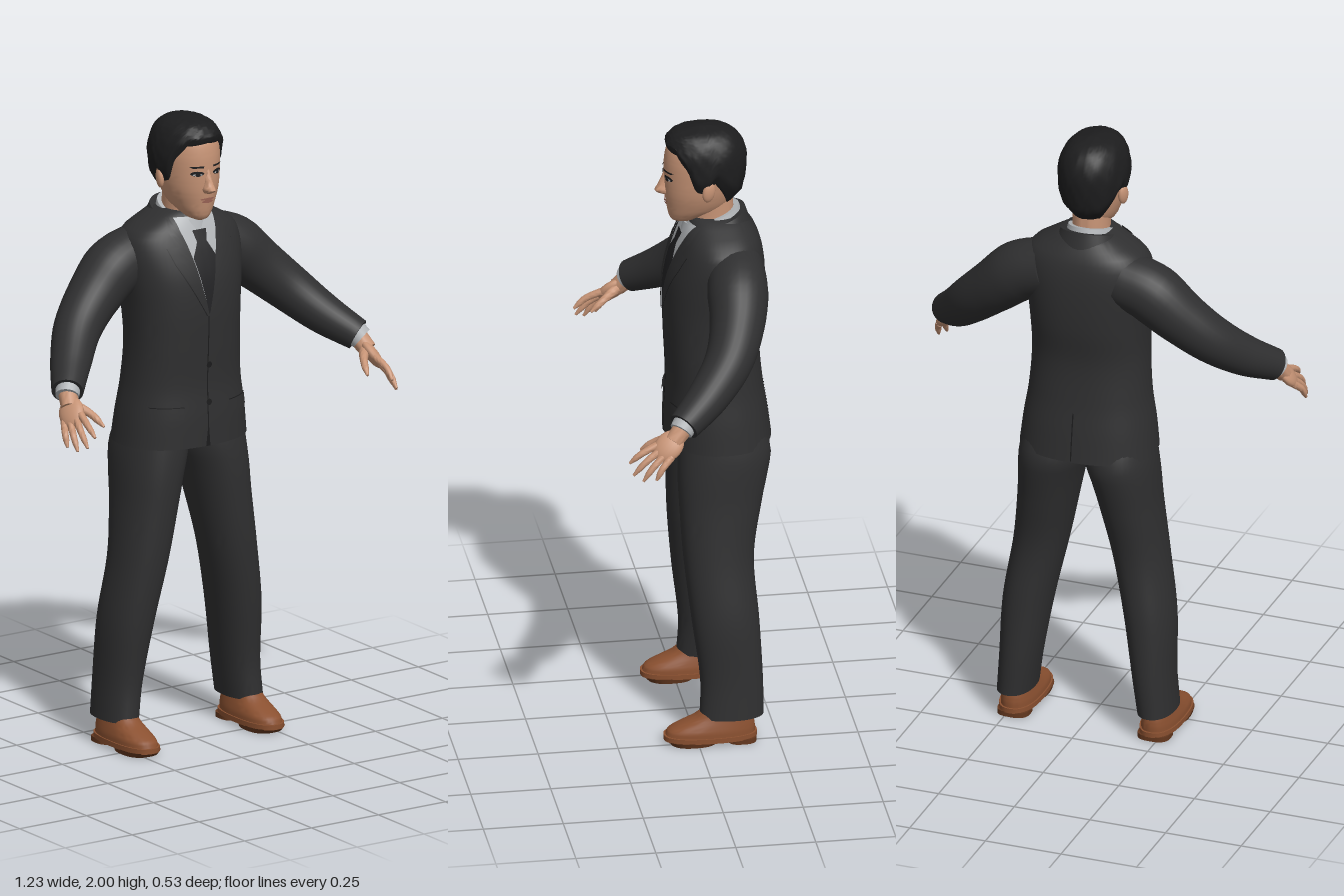
import * as THREE from 'three';
import { toCreasedNormals } from 'three/addons/utils/BufferGeometryUtils.js';

const paint = (name, color) => new THREE.MeshStandardMaterial({ name, color, side: THREE.DoubleSide });
const M = {
  suit: paint('charcoal suit', 0x2f2f30), seam: paint('dark seam', 0x1b1b1c), tie: paint('black tie', 0x222224),
  shirt: paint('pale shirt', 0xb2b5b8), skin: paint('skin', 0xc69375), lips: paint('lips', 0xa2695a),
  hair: paint('black hair', 0x1d1d1e), shoe: paint('brown leather', 0x8a5030), sole: paint('dark sole', 0x64381f),
};
const V = (x, y, z) => new THREE.Vector3(x, y, z);
const sgnPow = (v, e) => Math.sign(v) * Math.abs(v) ** e;

// Section rows are [y, centreX, halfWidth, zFront, zBack]; smooth interpolation in y
function section(rows, y) {
  const n = rows.length - 1;
  y = THREE.MathUtils.clamp(y, rows[0][0], rows[n][0]);
  let i = 0;
  while (i < n - 1 && y > rows[i + 1][0]) i++;
  const h = rows[i + 1][0] - rows[i][0], t = (y - rows[i][0]) / h;
  const slope = (k, c) => {
    const a = rows[Math.max(k - 1, 0)], b = rows[Math.min(k + 1, n)];
    return (b[c] - a[c]) / (b[0] - a[0]);
  };
  return rows[i].map((p, c) => c === 0 ? y :
    (2 * t ** 3 - 3 * t * t + 1) * p + (t ** 3 - 2 * t * t + t) * h * slope(i, c) +
    (3 * t * t - 2 * t ** 3) * rows[i + 1][c] + (t ** 3 - t * t) * h * slope(i + 1, c));
}
// Point on a section at angle a, measured from the front towards +x
function ringPoint(rows, y, a, e) {
  const [, cx, rx, zf, zb] = section(rows, y);
  return V(cx + rx * sgnPow(Math.sin(a), e), y, (zf + zb) / 2 + (zf - zb) / 2 * sgnPow(Math.cos(a), e));
}
// z of the front (side 1) or back (side -1) of a body at x, y
const surface = (rows, e, side = 1) => (x, y) => {
  const [, cx, rx, zf, zb] = section(rows, y);
  const k = Math.max(0, 1 - Math.min(1, Math.abs((x - cx) / rx)) ** (2 / e)) ** (e / 2);
  return (zf + zb) / 2 + side * (zf - zb) / 2 * k;
};
// Skin over a grid of points; closed wraps round, caps fill both ends
function skinGrid(rings, closed, caps) {
  const m = rings[0].length, pts = rings.flat(), idx = [];
  for (let i = 0; i < rings.length - 1; i++) for (let j = 0; j < (closed ? m : m - 1); j++) {
    const k = (j + 1) % m, a = i * m + j, b = i * m + k, c = b + m, d = a + m;
    idx.push(a, b, c, a, c, d);
  }
  if (caps) [0, rings.length - 1].forEach((r, end) => {
    const c = pts.length;
    pts.push(rings[r].reduce((s, p) => s.add(p), V(0, 0, 0)).divideScalar(m));
    for (let j = 0; j < m; j++) {
      const a = r * m + j, b = r * m + (j + 1) % m;
      idx.push(...(end ? [c, a, b] : [c, b, a]));
    }
  });
  const g = new THREE.BufferGeometry().setFromPoints(pts);
  g.setIndex(idx);
  return toCreasedNormals(g, 1);
}
function loft(rows, { e = 1, steps = 24, seg = 40, tilt = 0 } = {}) {
  const y0 = rows[0][0], y1 = rows[rows.length - 1][0], rings = [];
  for (let i = 0; i <= steps; i++) {
    const y = y0 + (y1 - y0) * i / steps, ring = [];
    for (let j = 0; j < seg; j++) {
      const p = ringPoint(rows, y, j / seg * Math.PI * 2, e);
      p.y -= tilt * (p.z + 0.08);
      ring.push(p);
    }
    rings.push(ring);
  }
  return skinGrid(rings, true, true);
}
// Tube with a changing radius
function limb(points, radii, steps = 18, seg = 20) {
  const curve = new THREE.CatmullRomCurve3(points), f = curve.computeFrenetFrames(steps), rings = [];
  for (let i = 0; i <= steps; i++) {
    const u = i / steps, s = u * (radii.length - 1), k = Math.min(Math.floor(s), radii.length - 2);
    const r = THREE.MathUtils.lerp(radii[k], radii[k + 1], s - k), c = curve.getPointAt(u), ring = [];
    for (let j = 0; j < seg; j++) {
      const a = j / seg * Math.PI * 2;
      ring.push(c.clone().addScaledVector(f.normals[i], r * Math.cos(a)).addScaledVector(f.binormals[i], r * Math.sin(a)));
    }
    rings.push(ring);
  }
  return skinGrid(rings, true, true);
}
// Thin plate lying on a surface; rows are [y, x0, x1] from low to high
function patch(zAt, rows, off) {
  const rings = [];
  rows.slice(0, -1).forEach((r, i) => {
    for (let k = i ? 1 : 0; k <= 5; k++) {
      const [y, x0, x1] = r.map((v, c) => THREE.MathUtils.lerp(v, rows[i + 1][c], k / 5));
      rings.push(Array.from({ length: 9 }, (_, j) => {
        const x = x0 + (x1 - x0) * j / 8;
        return V(x, y, zAt(x, y) + off);
      }));
    }
  });
  return skinGrid(rings, false, false);
}
const oval = (zAt, cx, cy, rx, ry, off) => patch(zAt, Array.from({ length: 7 }, (_, i) => {
  const a = Math.PI * i / 6, w = rx * Math.sin(a);
  return [cy - ry * Math.cos(a), cx - w, cx + w];
}), off);

const TORSO = [[0.96, 0, 0.217, 0.068, -0.262], [1.05, 0, 0.207, 0.066, -0.25], [1.15, 0, 0.192, 0.06, -0.235],
  [1.28, 0, 0.184, 0.066, -0.226], [1.4, 0, 0.188, 0.069, -0.24], [1.5, 0, 0.198, 0.06, -0.243],
  [1.58, 0, 0.203, 0.037, -0.237], [1.635, 0, 0.185, 0.015, -0.222], [1.67, 0, 0.13, 0, -0.2], [1.7, 0, 0.076, -0.015, -0.175]];
const LEG = [[1.02, 0.105, 0.095, 0.03, -0.22], [0.94, 0.108, 0.107, 0.04, -0.248], [0.86, 0.122, 0.1, 0.043, -0.236],
  [0.78, 0.134, 0.093, 0.041, -0.218], [0.6, 0.164, 0.084, 0.032, -0.187], [0.4, 0.2, 0.077, 0.012, -0.198],
  [0.2, 0.22, 0.063, -0.012, -0.207], [0.085, 0.232, 0.058, -0.008, -0.207]].reverse();
const HEAD = [[1.678, 0, 0.012, 0.03, -0.01], [1.686, 0, 0.03, 0.045, -0.035], [1.702, 0, 0.046, 0.053, -0.07],
  [1.73, 0, 0.065, 0.059, -0.125], [1.78, 0, 0.083, 0.066, -0.15], [1.84, 0, 0.091, 0.068, -0.163],
  [1.9, 0, 0.092, 0.065, -0.168], [1.945, 0, 0.08, 0.052, -0.152], [1.972, 0, 0.055, 0.025, -0.12], [1.984, 0, 0.015, -0.03, -0.075]];
const NECK = [[1.62, 0, 0.062, 0, -0.15], [1.7, 0, 0.058, -0.01, -0.15], [1.78, 0, 0.058, -0.005, -0.145]];

export function createModel() {
  const root = new THREE.Group();
  const group = (name) => { const g = new THREE.Group(); g.name = name; root.add(g); return g; };
  const add = (parent, name, geo, mat) => {
    const m = new THREE.Mesh(geo, mat); m.name = name; parent.add(m); return m;
  };
  const chest = surface(TORSO, 0.85), back = surface(TORSO, 0.85, -1), face = surface(HEAD, 0.95);

  // Jacket, shirt and tie
  const jacket = group('jacket');
  add(jacket, 'jacketBody', loft(TORSO, { e: 0.85, steps: 40, seg: 56 }), M.suit);
  add(jacket, 'jacketCollar', loft([[1.62, 0, 0.12, 0, -0.205], [1.685, 0, 0.086, -0.03, -0.185]], { tilt: 0.3, steps: 4 }), M.suit);
  add(jacket, 'shirtFront', patch(chest, [[1.4, -0.002, 0.002], [1.56, -0.042, 0.042], [1.64, -0.064, 0.064], [1.685, -0.072, 0.072]], 0.003), M.shirt);
  add(jacket, 'tie', patch(chest, [[1.39, -0.002, 0.002], [1.565, -0.041, 0.041], [1.61, -0.018, 0.018], [1.645, -0.026, 0.026]], 0.006), M.tie);
  add(jacket, 'shirtCollar', loft([[1.655, 0, 0.083, 0.02, -0.18], [1.7, 0, 0.07, 0.006, -0.166]], { tilt: 0.3, steps: 4 }), M.shirt);
  add(jacket, 'frontSeam', patch(chest, [[0.96, -0.01, 0.006], [1.02, -0.002, 0.002], [1.39, -0.002, 0.002]], 0.002), M.seam);
  add(jacket, 'backVent', patch(back, [[0.965, -0.002, 0.002], [1.12, -0.002, 0.002]], -0.003), M.seam);
  for (const y of [1.1, 1.22]) add(jacket, 'button', oval(chest, 0.004, y, 0.01, 0.01, 0.004), M.seam);
  for (const s of [1, -1]) {
    add(jacket, 'lapel', patch(chest, [[1.38, s * 0.001, s * 0.006], [1.55, s * 0.04, s * 0.1], [1.6, s * 0.053, s * 0.118],
      [1.605, s * 0.054, s * 0.09], [1.65, s * 0.068, s * 0.105], [1.685, s * 0.074, s * 0.09]], 0.007), M.suit);
    add(jacket, 'lapelEdge', patch(chest, [[1.38, s * 0.005, s * 0.008], [1.55, s * 0.1, s * 0.103], [1.6, s * 0.118, s * 0.121]], 0.003), M.seam);
    add(jacket, 'pocketFlap', patch(chest, [[1.055, s * 0.085, s * 0.175], [1.092, s * 0.085, s * 0.175]], 0.005), M.suit);
    add(jacket, 'pocketSeam', patch(chest, [[1.092, s * 0.083, s * 0.177], [1.095, s * 0.083, s * 0.177]], 0.005), M.seam);
  }

  // Head and face
  const head = group('head');
  add(head, 'neck', loft(NECK, { steps: 8 }), M.skin);
  add(head, 'skull', loft(HEAD, { e: 0.97, steps: 40 }), M.skin);
  add(head, 'nose', loft([[1.774, 0, 0.012, 0.078, 0.04], [1.784, 0, 0.02, 0.097, 0.04], [1.8, 0, 0.015, 0.09, 0.04],
    [1.83, 0, 0.01, 0.076, 0.04], [1.852, 0, 0.009, 0.067, 0.04]], { steps: 12, seg: 20 }), M.skin);
  add(head, 'upperLip', oval(face, 0, 1.754, 0.026, 0.004, 0.003), M.lips);
  add(head, 'lowerLip', oval(face, 0, 1.746, 0.021, 0.005, 0.004), M.lips);
  for (const s of [1, -1]) {
    add(head, 'lashes', oval(face, s * 0.036, 1.839, 0.02, 0.008, 0.002), M.hair);
    add(head, 'eyeWhite', oval(face, s * 0.036, 1.836, 0.014, 0.004, 0.003), M.shirt);
    add(head, 'iris', oval(face, s * 0.036, 1.836, 0.0075, 0.006, 0.0045), M.hair);
    add(head, 'eyebrow', patch(face, [[1.857, s * 0.018, s * 0.05], [1.863, s * 0.016, s * 0.06]], 0.003), M.hair);
    const ear = add(head, 'ear', new THREE.SphereGeometry(1, 18, 12), M.skin);
    ear.scale.set(0.012, 0.033, 0.021);
    ear.position.set(s * 0.096, 1.81, -0.058);
    ear.rotation.set(-0.15, s * 0.3, 0);
  }

  // Hair shell: lower edge follows the hairline [angle, y]
  const HAIRLINE = [[0, 1.932], [0.7, 1.925], [1.1, 1.88], [1.35, 1.81], [1.65, 1.8], [1.8, 1.84], [2.1, 1.8], [2.5, 1.75], [Math.PI, 1.735]];
  const hairRings = [];
  for (let i = 0; i <= 28; i++) {
    const ring = [], t = i / 28;
    for (let j = 0; j < 72; j++) {
      const a = j / 72 * Math.PI * 2, b = Math.min(a, Math.PI * 2 - a);
      let k = 0;
      while (k < HAIRLINE.length - 2 && b > HAIRLINE[k + 1][0]) k++;
      const [p, q] = [HAIRLINE[k], HAIRLINE[k + 1]];
      const y = THREE.MathUtils.lerp(THREE.MathUtils.lerp(p[1], q[1], (b - p[0]) / (q[0] - p[0])), 1.984, Math.sin(t * Math.PI / 2));
      const v = ringPoint(HEAD, y, a, 0.97), out = v.clone().sub(V(0, 1.85, -0.05)).normalize();
      const wave = 0.003 * (1 - t) * Math.sin(a * 13 + t * 9) * Math.sin(t * 23 + a * 4);
      const thick = 0.013 + wave + 0.009 * Math.max(0, -out.z);
      ring.push(v.addScaledVector(out, 0.002 + thick * Math.min(1, t * 7)));
    }
    hairRings.push(ring);
  }
  add(head, 'hair', skinGrid(hairRings, true, true), M.hair);

  for (const s of [1, -1]) {
    const side = s > 0 ? 'left' : 'right', P = (x, y, z) => V(s * x, y, z);

    // Sleeve, cuff and hand
    const arm = group(side + 'Arm');
    add(arm, 'sleeve', limb([P(0.12, 1.56, -0.135), P(0.21, 1.53, -0.13), P(0.3, 1.455, -0.115), P(0.39, 1.373, -0.075),
      P(0.47, 1.293, 0.003), P(0.542, 1.232, 0.09)], [0.09, 0.095, 0.083, 0.074, 0.064, 0.05], 28, 28), M.suit);
    add(arm, 'shirtCuff', limb([P(0.535, 1.24, 0.083), P(0.55, 1.221, 0.1)], [0.04, 0.037], 2), M.shirt);
    add(arm, 'wrist', limb([P(0.535, 1.24, 0.08), P(0.557, 1.19, 0.125)], [0.032, 0.028], 4), M.skin);
    const along = P(0.27, -0.68, 0.68).normalize();
    const across = P(-0.53, 0.4, 0.75).addScaledVector(along, -along.dot(P(-0.53, 0.4, 0.75))).normalize();
    const palm = add(arm, 'palm', new THREE.SphereGeometry(1, 20, 14), M.skin);
    palm.quaternion.setFromRotationMatrix(new THREE.Matrix4().makeBasis(across, along, across.clone().cross(along)));
    palm.position.copy(P(0.561, 1.178, 0.14));
    palm.scale.set(0.043, 0.054, 0.02);
    [[0.555, 1.125, 0.262], [0.577, 1.093, 0.253], [0.595, 1.079, 0.225], [0.607, 1.085, 0.186]].forEach((tip, i) => {
      const base = P(0.567, 1.165, 0.155).addScaledVector(across, 0.03 - i * 0.02), end = P(...tip);
      const knuckle = base.clone().lerp(end, 0.55).add(P(0.005, 0.006, 0.003));
      add(arm, 'finger', limb([base, knuckle, end], [0.012, 0.0115, 0.0105, 0.0095, 0.004], 12, 12), M.skin);
    });
    add(arm, 'thumb', limb([P(0.546, 1.195, 0.125), P(0.512, 1.175, 0.168), P(0.492, 1.14, 0.218)],
      [0.018, 0.016, 0.012, 0.011, 0.004], 12, 12), M.skin);

    // Trouser leg and shoe
    const leg = group(side + 'Leg');
    add(leg, 'trouserLeg', loft(LEG.map(([y, cx, ...r]) => [y, s * cx, ...r]), { e: 0.92, steps: 30 }), M.suit);
    const shoe = group(side + 'Shoe'), x = s * 0.232;
    add(shoe, 'upper', loft([[0.025, x, 0.058, 0.1, -0.18], [0.045, x, 0.057, 0.092, -0.18], [0.062, x, 0.053, 0.06, -0.178],
      [0.085, x, 0.047, 0.01, -0.172], [0.12, x, 0.04, -0.03, -0.165]], { e: 0.82, steps: 14 }), M.shoe);
    add(shoe, 'welt', loft([[0.014, x, 0.062, 0.105, -0.186], [0.03, x, 0.062, 0.105, -0.186]], { e: 0.8, steps: 1 }), M.shoe);
    add(shoe, 'foreSole', loft([[0, x, 0.056, 0.085, -0.06], [0.016, x, 0.06, 0.1, -0.07]], { e: 0.8, steps: 1 }), M.sole);
    add(shoe, 'heel', loft([[0, x, 0.052, -0.09, -0.184], [0.016, x, 0.052, -0.09, -0.184]], { e: 0.7, steps: 1 }), M.sole);
  }
  return root;
}
